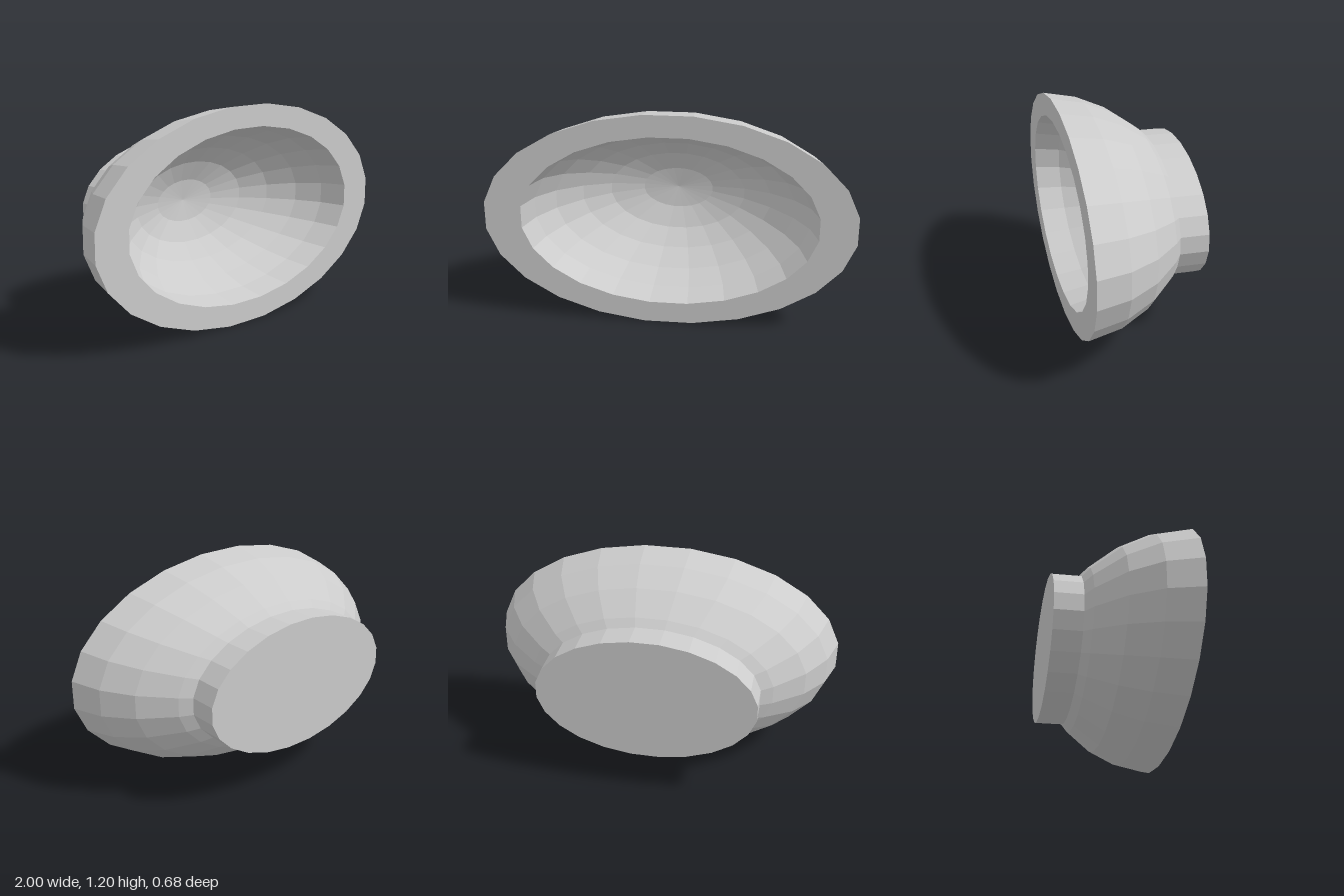
import * as THREE from 'three';

const SIDES = 24;
const HALF_STEP = Math.PI / SIDES;
const HALF_HEIGHT = 0.5975; // vertical half-size of the oval rim; its horizontal half-size is 1
const RIM_Z = 0.34;

// Oval faceted solid of revolution around z, from [radius, z] points
function ovalLathe(name, profile, material) {
  const points = profile.map(([r, z]) => new THREE.Vector2(r / Math.cos(HALF_STEP), z));
  const geometry = new THREE.LatheGeometry(points, SIDES, HALF_STEP);
  geometry.rotateX(Math.PI / 2);
  geometry.scale(1, HALF_HEIGHT, 1);
  geometry.translate(0, HALF_HEIGHT, 0);
  const mesh = new THREE.Mesh(geometry, material);
  mesh.name = name;
  return mesh;
}

export function createModel() {
  const material = new THREE.MeshStandardMaterial({ color: 0xcccccc, flatShading: true });
  const group = new THREE.Group();
  group.name = 'ovalBowl';

  // Rings of the bowl curve from the rim to the pole: [radius, depth behind the rim]
  const curve = [[1, 0], [0.945, 0.18], [0.835, 0.34], [0.67, 0.485], [0.483, 0.592], [0.25, 0.66], [0, 0.683]];

  // Outer wall, flat rim and hollow (the same curve at 80 %)
  const outer = [[0.605, -0.185], ...curve.slice(0, 4).reverse().map(([r, d]) => [r, RIM_Z - d])];
  const hollow = curve.map(([r, d]) => [0.8 * r, RIM_Z - 0.8 * d]);
  group.add(ovalLathe('bowl', [...outer, ...hollow], material));

  // Foot with a closed base
  group.add(ovalLathe('foot', [[0, -0.34], [0.605, -0.34], [0.605, -0.185]], material));

  return group;
}
